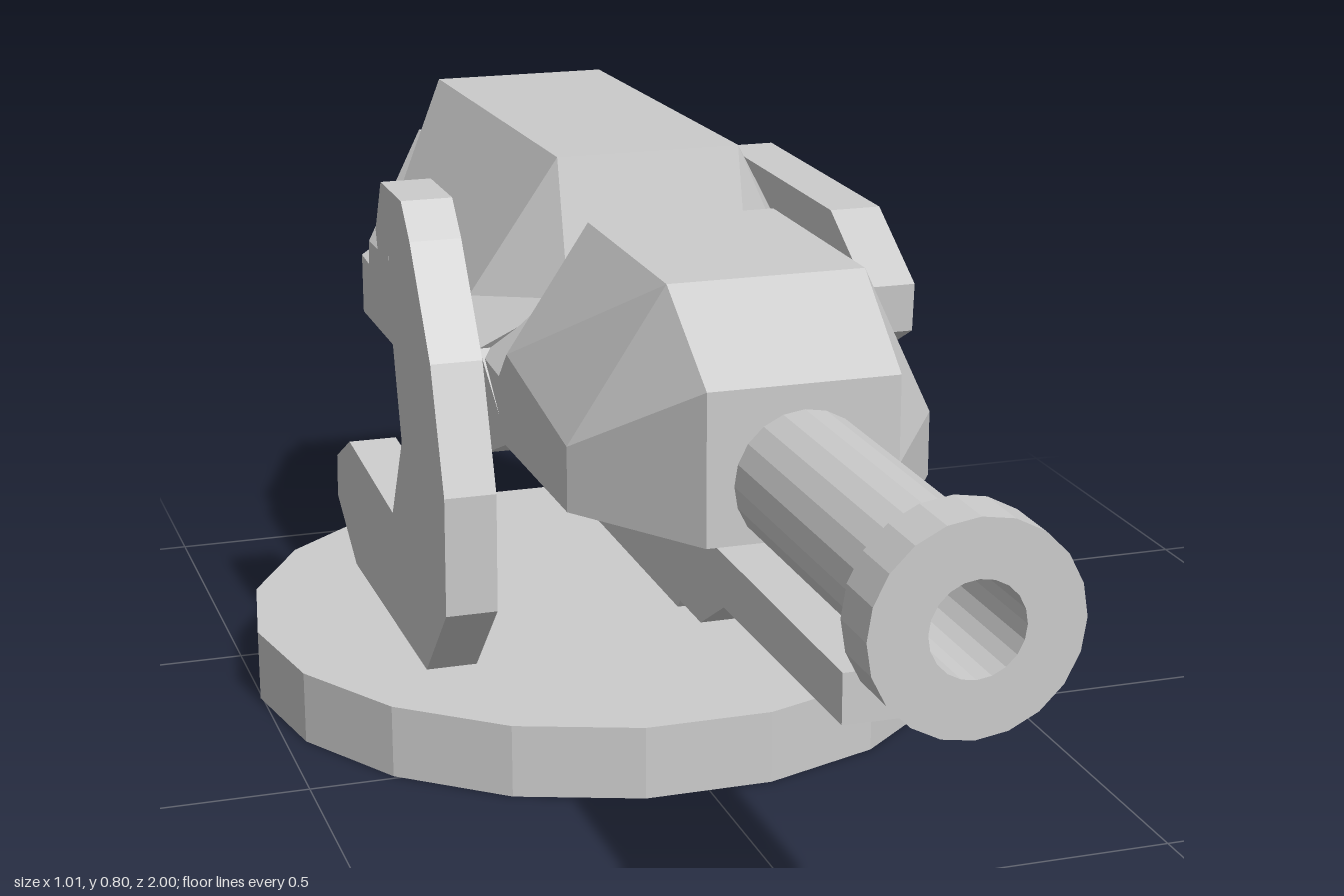
import * as THREE from 'three';

const material = new THREE.MeshStandardMaterial({ color: 0xcccccc, flatShading: true });

function add(group, name, geometry) {
  const mesh = new THREE.Mesh(geometry, material);
  mesh.name = name;
  group.add(mesh);
  return mesh;
}

// Plate cut from a side outline of [z, y] points, spanning x0 to x1
function sidePlate(points, x0, x1, hole) {
  const shape = new THREE.Shape(points.map(([z, y]) => new THREE.Vector2(-z, y)));
  if (hole) {
    const path = new THREE.Path();
    path.absarc(-hole[0], hole[1], hole[2], 0, Math.PI * 2, true);
    shape.holes.push(path);
  }
  const geo = new THREE.ExtrudeGeometry(shape, { depth: x1 - x0, bevelEnabled: false, curveSegments: 8 });
  return geo.rotateY(Math.PI / 2).translate(x0, 0, 0);
}

// Mirrored hull: each section lists its +x points [x, y, z] from top to bottom, front section first
function hull(sections) {
  const n = sections[0].length;
  const pos = [], index = [];
  for (const s of sections) {
    for (const [x, y, z] of s) pos.push(x, y, z);
    for (const [x, y, z] of [...s].reverse()) pos.push(-x, y, z);
  }
  const m = 2 * n;
  for (let i = 0; i < sections.length - 1; i++) {
    for (let j = 0; j < m; j++) {
      const k = (j + 1) % m;
      const a = i * m + j, b = i * m + k, c = a + m, d = b + m;
      index.push(a, b, c, b, d, c);
    }
  }
  const last = (sections.length - 1) * m;
  for (let j = 0; j < n - 1; j++) {
    const a = j, b = j + 1, c = m - 2 - j, d = m - 1 - j;
    index.push(a, c, b, a, d, c);
    index.push(last + a, last + b, last + c, last + a, last + c, last + d);
  }
  const geo = new THREE.BufferGeometry();
  geo.setAttribute('position', new THREE.Float32BufferAttribute(pos, 3));
  geo.setIndex(index);
  const flat = geo.toNonIndexed();
  flat.computeVertexNormals();
  return flat;
}

export function createModel() {
  const model = new THREE.Group();
  model.name = 'turret';

  // Round base plate
  const base = new THREE.CylinderGeometry(0.503, 0.503, 0.1, 18).rotateY(Math.PI / 2);
  add(model, 'base', base).position.set(0, 0.05, -0.33);

  const gun = new THREE.Group();
  gun.name = 'gun';
  gun.position.x = 0.005;
  model.add(gun);

  // Hooked side brackets, the right one turned half a turn
  const hook = [
    [0.055, 0.635], [-0.075, 0.71], [-0.505, 0.71], [-0.63, 0.585], [-0.635, 0.42],
    [-0.575, 0.255], [-0.475, 0.115], [-0.43, 0.07], [-0.31, 0.07], [-0.27, 0.145],
    [-0.295, 0.22], [-0.35, 0.26], [-0.395, 0.415], [-0.325, 0.54], [-0.045, 0.52], [0.05, 0.57],
  ];
  const turned = hook.map(([z, y]) => [-0.63 - z, 0.805 - y]);
  add(gun, 'leftBracket', sidePlate(hook, 0.245, 0.315, [-0.39, 0.18, 0.048]));
  add(gun, 'rightBracket', sidePlate(turned, -0.315, -0.245, [-0.24, 0.625, 0.048]));

  // Faceted front housing
  add(gun, 'frontHousing', hull([
    [[0.12, 0.65, 0.49], [0.12, 0.54, 0.49], [0.12, 0.46, 0.49]],
    [[0.125, 0.745, 0.355], [0.235, 0.54, 0.305], [0.235, 0.457, 0.305]],
    [[0.125, 0.745, 0.03], [0.235, 0.58, 0.03], [0.235, 0.455, 0.03]],
    [[0.125, 0.64, -0.01], [0.235, 0.54, -0.01], [0.235, 0.455, -0.01]],
    [[0.12, 0.64, -0.13], [0.23, 0.54, -0.13], [0.23, 0.455, -0.13]],
  ]));

  // Taller rear housing
  add(gun, 'rearHousing', hull([
    [[0.125, 0.62, -0.065], [0.235, 0.55, -0.11], [0.235, 0.46, 0.03]],
    [[0.125, 0.8, -0.11], [0.235, 0.61, -0.16], [0.235, 0.415, -0.08]],
    [[0.125, 0.785, -0.755], [0.235, 0.6, -0.635], [0.235, 0.415, -0.66]],
    [[0.125, 0.63, -0.74], [0.235, 0.5, -0.65], [0.235, 0.415, -0.66]],
  ]));

  // Stepped tail plates
  add(gun, 'upperTail', hull([
    [[0.125, 0.66, -0.6], [0.235, 0.54, -0.6], [0.235, 0.415, -0.6]],
    [[0.125, 0.68, -0.895], [0.235, 0.54, -0.775], [0.235, 0.415, -0.79]],
    [[0.125, 0.57, -0.87], [0.235, 0.46, -0.78], [0.235, 0.415, -0.79]],
  ]));
  add(gun, 'lowerTail', hull([
    [[0.125, 0.55, -0.6], [0.235, 0.49, -0.6], [0.235, 0.415, -0.6]],
    [[0.125, 0.572, -0.85], [0.235, 0.505, -0.83], [0.235, 0.415, -0.83]],
    [[0.12, 0.595, -1], [0.12, 0.5, -1], [0.12, 0.412, -1]],
  ]));

  // Rails beneath the housings
  add(gun, 'upperRail', sidePlate([
    [0.875, 0.45], [0.875, 0.39], [0.49, 0.385], [0.405, 0.335], [-0.83, 0.328],
    [-0.905, 0.413], [-0.905, 0.45],
  ], -0.098, 0.098));
  add(gun, 'lowerRail', sidePlate([
    [0.25, 0.34], [0.2, 0.277], [-0.71, 0.277], [-0.76, 0.34],
  ], -0.06, 0.06));

  // Hollow barrel with a muzzle ring, turned around the z axis
  const profile = [
    [0, 0.6], [0.055, 0.6], [0.055, 1], [0.122, 1], [0.122, 0.927], [0.086, 0.927], [0.086, 0.45],
  ].reverse().map(([r, z]) => new THREE.Vector2(r, z));
  // Wound so that faces point outwards along the increasing axis
  const points = [profile[0], ...profile.slice(1)];
  const barrel = new THREE.LatheGeometry(points, 20).rotateX(Math.PI / 2);
  add(gun, 'barrel', barrel).position.set(0, 0.533, 0);

  return model;
}
